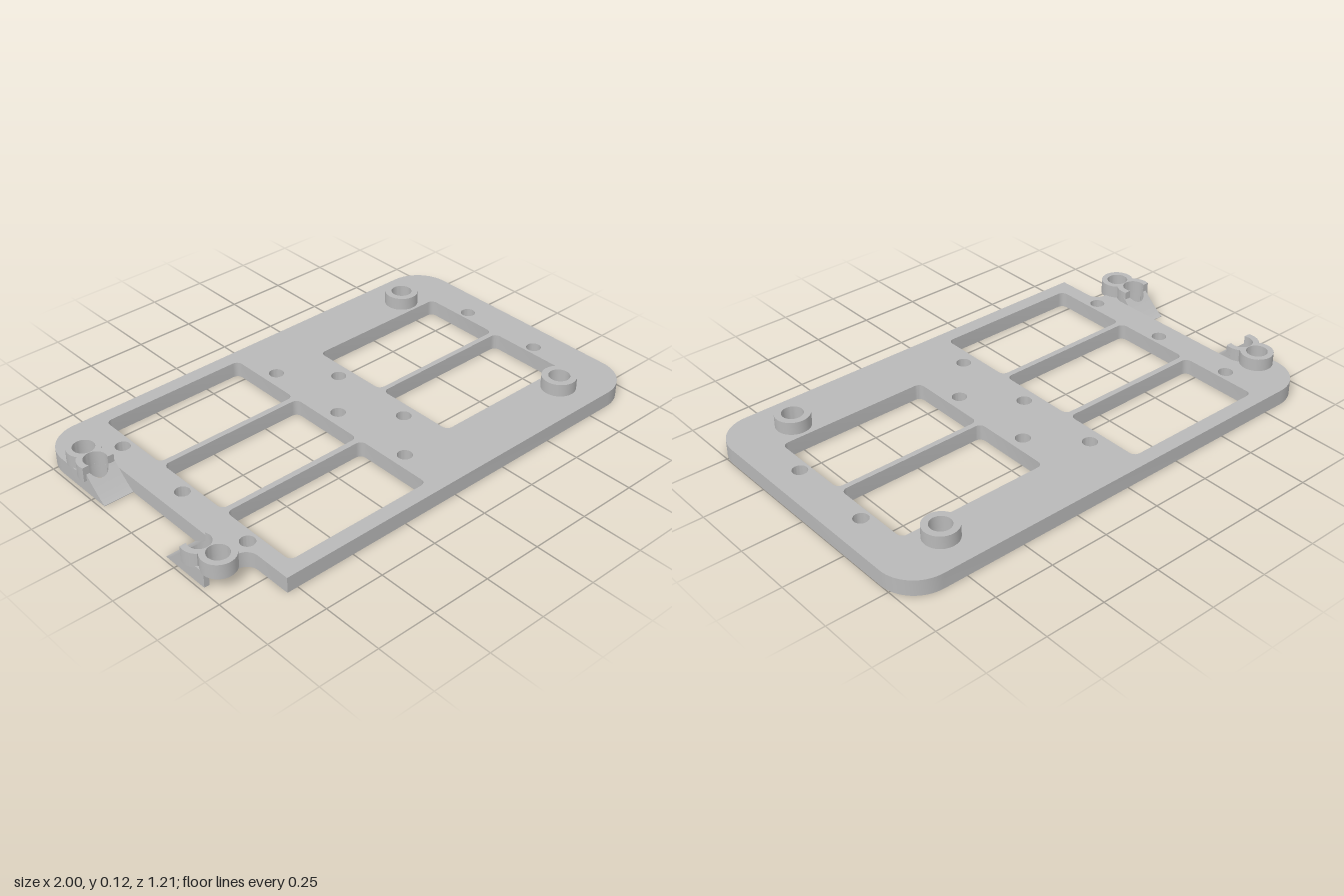
import * as THREE from 'three';
import { toCreasedNormals } from 'three/addons/utils/BufferGeometryUtils.js';

const PI = Math.PI;
const PLATE = 0.065, TOP = 0.118;
const BOLT_R = 0.043, PIN_R = 0.045;
const bolt = { x: -0.92, z: 0.40 }, pin = { x: -0.93, z: 0.31 };
const TAB_OUT = -0.985, TAB_IN = -0.86;

const P = (x, y) => new THREE.Vector2(x, y);

function arc(cx, cy, r, a0, a1, n = 16) {
  return Array.from({ length: n + 1 }, (_, i) => {
    const a = a0 + (a1 - a0) * i / n;
    return P(cx + r * Math.cos(a), cy + r * Math.sin(a));
  });
}

const circle = (x, y, r) => new THREE.Path(arc(x, y, r, 0, 2 * PI, 32).slice(0, -1));

function roundedWindow(x0, x1, y0, y1, r = 0.025) {
  return new THREE.Path([
    ...arc(x1 - r, y0 + r, r, -PI / 2, 0, 5), ...arc(x1 - r, y1 - r, r, 0, PI / 2, 5),
    ...arc(x0 + r, y1 - r, r, PI / 2, PI, 5), ...arc(x0 + r, y0 + r, r, PI, PI * 1.5, 5),
  ]);
}

// Plan outlines use y = -z and are raised from y0 to y1.
function raise(points, holes, y0, y1) {
  const shape = new THREE.Shape(points);
  shape.holes.push(...holes);
  const g = new THREE.ExtrudeGeometry(shape, { depth: y1 - y0, bevelEnabled: false });
  g.rotateX(-PI / 2).translate(0, y0, 0);
  return toCreasedNormals(g, 0.6);
}

function plateGeometry() {
  const outline = [
    P(-0.795, -0.605),
    ...arc(0.85, -0.455, 0.15, -PI / 2, 0),
    ...arc(0.85, 0.455, 0.15, 0, PI / 2),
    ...arc(-0.835, 0.455, 0.15, PI / 2, PI),
    // rear tab, side recess, front tab
    P(TAB_OUT, pin.z), ...arc(pin.x, pin.z, PIN_R, PI, 0), P(TAB_IN, pin.z),
    P(TAB_IN, -pin.z), ...arc(pin.x, -pin.z, PIN_R, 0, -PI), P(TAB_OUT, -pin.z),
    P(TAB_OUT, -bolt.z), ...arc(bolt.x, -bolt.z, BOLT_R, PI, 0),
    // rounded inner corner of the front notch
    ...arc(-0.845, -0.45, 0.05, PI / 2, 0, 8),
  ];
  const holes = [circle(bolt.x, bolt.z, BOLT_R)];
  for (const y of [-0.37, 0, 0.37]) {
    holes.push(roundedWindow(-0.73, -0.09, y - 0.173, y + 0.173));
    for (const x of [-0.773, -0.03]) holes.push(circle(x, y, 0.03));
  }
  for (const y of [-0.185, 0.189]) {
    holes.push(roundedWindow(0.2, 0.842, y - 0.176, y + 0.176));
    for (const x of [0.142, 0.882]) holes.push(circle(x, y, 0.03));
  }
  for (const y of [-0.447, 0.447]) holes.push(circle(0.735, y, BOLT_R));
  return raise(outline, holes, 0, PLATE);
}

// Boss around the bolt hole joined to an open lobe around the pin hole.
function clampGeometry(side) {
  const R1 = 0.067, R2 = 0.07, cut = -0.02;
  const dx = pin.x - bolt.x, dy = pin.z - bolt.z;
  const half = Math.hypot(dx, dy) / 2, a = Math.atan2(dy, dx);
  const w1 = Math.acos(half / R1), w2 = Math.acos(half / R2);
  const oA = Math.asin(-cut / R2), iA = Math.asin(-cut / PIN_R);
  const points = [
    ...arc(bolt.x, bolt.z, R1, a + w1, a - w1 + 2 * PI, 28),
    ...arc(pin.x, pin.z, R2, a + PI + w2, PI + oA, 8),
    ...arc(pin.x, pin.z, PIN_R, PI + iA, -iA, 20),
    ...arc(pin.x, pin.z, R2, -oA, a + PI - w2, 8),
  ].map(p => P(p.x, p.y * side));
  return raise(points, [circle(bolt.x, bolt.z * side, BOLT_R)], PLATE - 0.008, TOP);
}

// Ramp falling to a thin edge, with the pin hole biting into its tall end.
function rampGeometry(side) {
  const inner = 0.187;
  const g = new THREE.BoxGeometry(TAB_IN - TAB_OUT, 1, 1, 28, 1, 10);
  g.translate((TAB_IN + TAB_OUT) / 2, 0, 0);
  const pos = g.attributes.position;
  for (let i = 0; i < pos.count; i++) {
    const x = pos.getX(i), t = side * pos.getZ(i) + 0.5;
    const bite = Math.sqrt(Math.max(0, PIN_R ** 2 - (x - pin.x) ** 2));
    const z = inner + (pin.z - bite - inner) * t;
    const k = (z - inner) / 0.103;
    const height = 0.002 + 0.083 * Math.pow(k, 1.2);
    pos.setXYZ(i, x, pos.getY(i) > 0 ? height : 0, side * z);
  }
  return toCreasedNormals(g, 0.6);
}

export function createModel() {
  const model = new THREE.Group();
  const grey = new THREE.MeshStandardMaterial({ color: 0xb8b8b8 });
  grey.name = 'plain grey';
  const add = (name, geometry) => {
    const mesh = new THREE.Mesh(geometry, grey);
    mesh.name = name;
    model.add(mesh);
  };

  add('framePlate', plateGeometry());
  for (const side of [1, -1]) {
    const end = side > 0 ? 'front' : 'rear';
    add(end + 'Clamp', clampGeometry(-side));
    add(end + 'Ramp', rampGeometry(side));
    // round standoff at the left end
    const y = -side * 0.447;
    add(end + 'Standoff', raise(arc(0.735, y, 0.07, 0, 2 * PI, 40).slice(0, -1),
      [circle(0.735, y, BOLT_R)], PLATE, TOP));
  }
  return model;
}
